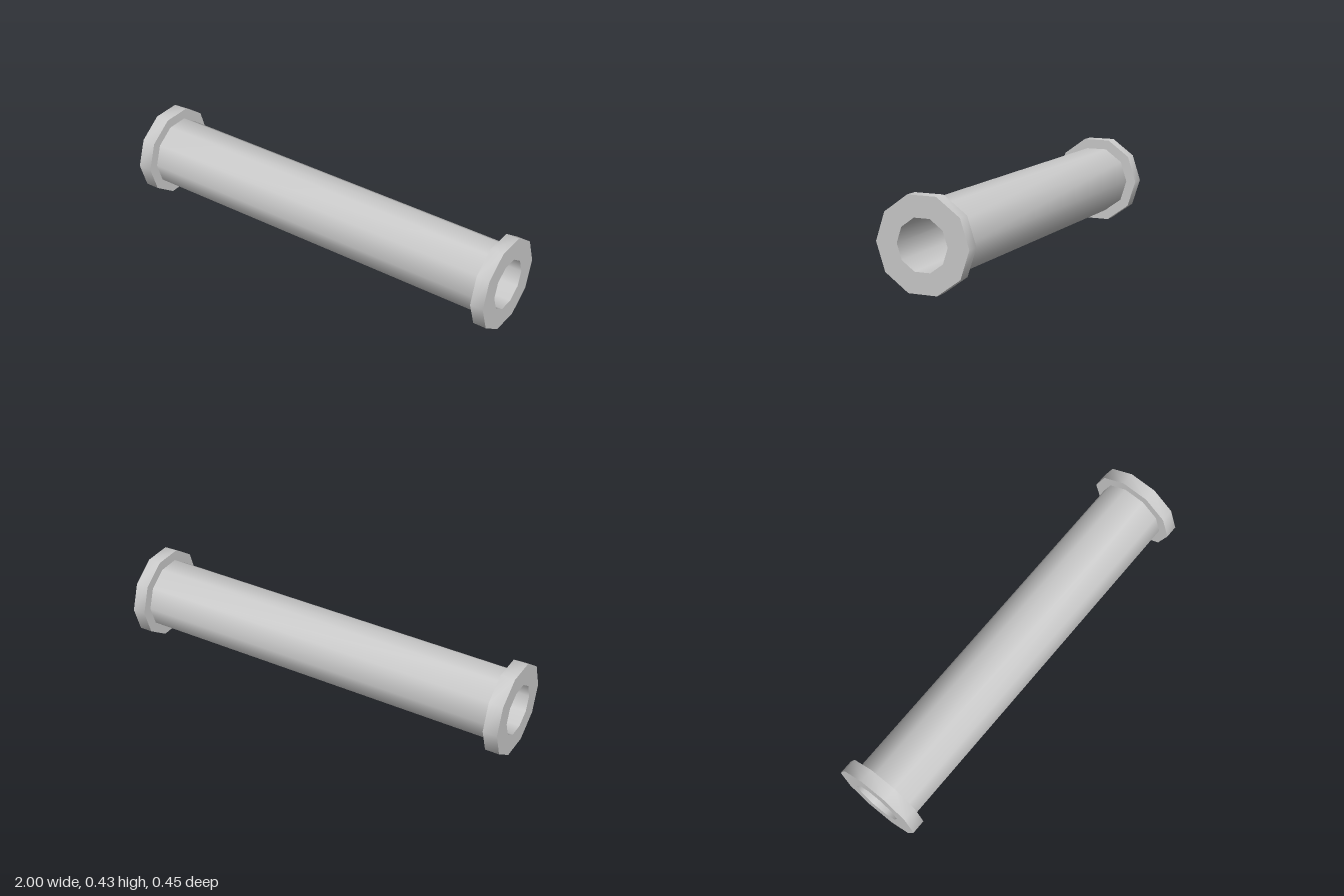
import * as THREE from 'three';
import { toCreasedNormals } from 'three/addons/utils/BufferGeometryUtils.js';

const SIDES = 10;
const BORE = 0.123, PIPE = 0.174, FLANGE = 0.225;
const LEFT_INNER = 0.935, RIGHT_INNER = -0.93; // inner faces of the flanges

export function createModel() {
  const model = new THREE.Group();
  model.name = 'flangedPipe';
  const material = new THREE.MeshStandardMaterial({ color: 0xcccccc });

  // Ten-sided turned part along x, from [x, radius] points
  function turned(name, profile) {
    const points = profile.map(([x, r]) => new THREE.Vector2(r, x));
    const geometry = new THREE.LatheGeometry(points, SIDES);
    geometry.rotateZ(-Math.PI / 2);
    // smooth around the pipe, sharp at the rims
    const mesh = new THREE.Mesh(toCreasedNormals(geometry, Math.PI / 3), material);
    mesh.name = name;
    mesh.position.y = FLANGE * Math.cos(Math.PI / SIDES);
    model.add(mesh);
  }

  // Long wall and the through hole
  turned('pipeWall', [[RIGHT_INNER, PIPE], [LEFT_INNER, PIPE]]);
  turned('bore', [[1, BORE], [-1, BORE]]);

  // End flanges: outer rim with a face on each side
  turned('rightFlange', [[-1, BORE], [-1, FLANGE], [RIGHT_INNER, FLANGE], [RIGHT_INNER, PIPE]]);
  turned('leftFlange', [[LEFT_INNER, PIPE], [LEFT_INNER, FLANGE], [1, FLANGE], [1, BORE]]);

  return model;
}
